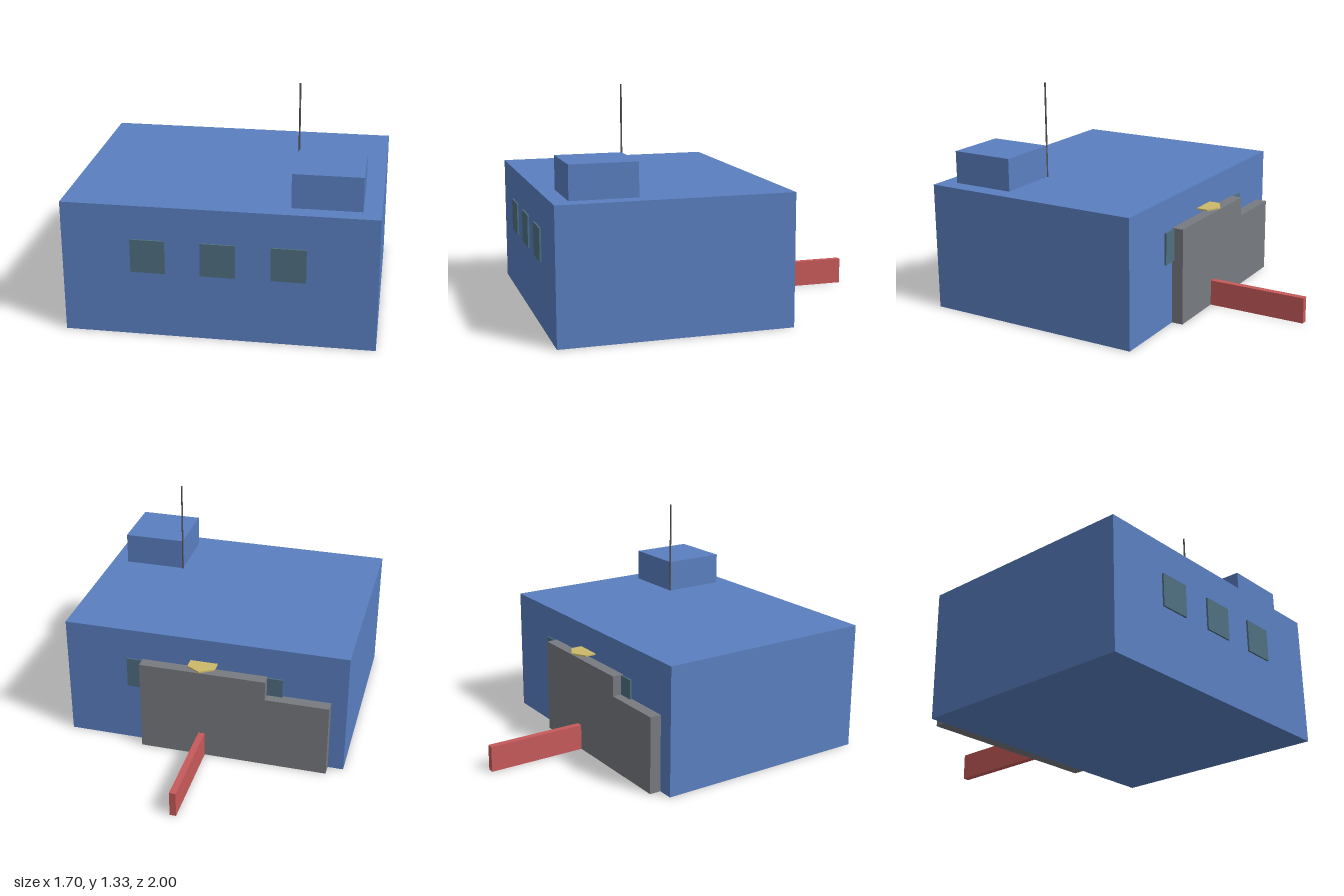
import * as THREE from 'three';

const mat = (color) => new THREE.MeshStandardMaterial({ color, flatShading: true });
const blue = mat(0x5a7fc0), glass = mat(0x4f6f80), grey = mat(0x777a80);
const red = mat(0xc85a5a), yellow = mat(0xcbb968), dark = mat(0x555555);

export function createModel() {
  const group = new THREE.Group();
  const add = (name, geometry, material) => {
    const mesh = new THREE.Mesh(geometry, material);
    mesh.name = name;
    group.add(mesh);
    return mesh;
  };
  // Box given by its lower and upper corners
  const box = (name, material, [x0, y0, z0], [x1, y1, z1]) =>
    add(name, new THREE.BoxGeometry(x1 - x0, y1 - y0, z1 - z0), material)
      .position.set((x0 + x1) / 2, (y0 + y1) / 2, (z0 + z1) / 2);

  // Main building and rooftop block
  box('building', blue, [-0.85, 0, -0.337], [0.85, 0.757, 0.986]);
  box('roofBlock', blue, [0.377, 0.757, 0.514], [0.752, 0.948, 0.892]);

  // Mast at the corner of the rooftop block
  add('antenna', new THREE.CylinderGeometry(0.005, 0.005, 0.568, 12), dark)
    .position.set(0.377, 1.041, 0.514);

  // Three windows on the front and back
  for (const x of [-0.378, 0, 0.378]) {
    box('frontWindow', glass, [x - 0.0945, 0.379, 0.99], [x + 0.0945, 0.568, 1]);
    box('backWindow', glass, [x - 0.0945, 0.379, -0.351], [x + 0.0945, 0.568, -0.341]);
  }

  // Stepped wall against the back
  const profile = new THREE.Shape([
    [-0.757, 0], [0.377, 0], [0.377, 0.572], [-0.38, 0.572], [-0.38, 0.453], [-0.757, 0.453],
  ].map(([x, y]) => new THREE.Vector2(x, y)));
  add('backWall', new THREE.ExtrudeGeometry(profile, { depth: 0.068, bevelEnabled: false }), grey)
    .position.z = -0.405;

  // Low divider running out behind the wall
  box('divider', red, [-0.019, 0, -1], [0.019, 0.154, -0.405]);

  // Thin hexagonal plate set into the back of the building
  add('hexPlate', new THREE.CylinderGeometry(0.0945, 0.0945, 0.009, 6), yellow)
    .position.set(0, 0.607, -0.356);

  return group;
}
